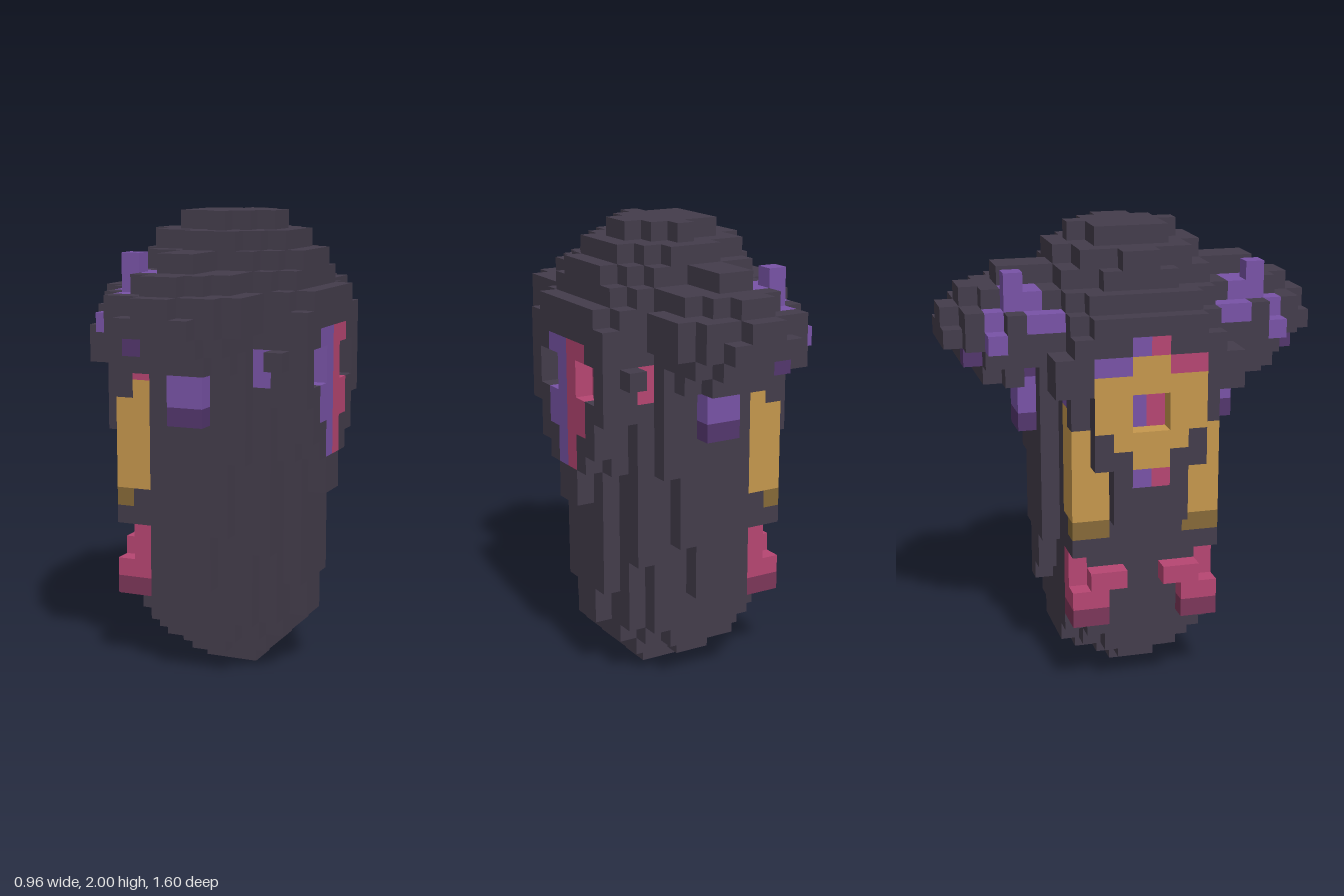
import * as THREE from 'three';

const U = 0.08; // edge of one cube

const colours = {
  stone: 0x433c4b, purple: 0x7853a6, darkPurple: 0x53366d,
  pink: 0xb64672, darkPink: 0x7c3659, gold: 0xc5974d, darkGold: 0x866938,
};

export function createModel() {
  const group = new THREE.Group();
  const materials = {};
  for (const [name, color] of Object.entries(colours)) {
    materials[name] = new THREE.MeshStandardMaterial({ color });
    materials[name].name = name;
  }

  // Cube grid: each filled cell remembers its part and colour;
  // 'gold|stone' paints the x faces gold and the other faces stone
  const cells = new Map();
  const key = (x, y, z) => `${x},${y},${z}`;
  function fill(part, colour, x0, x1, y0, y1, z0, z1) {
    for (let x = x0; x < x1; x++)
      for (let y = y0; y < y1; y++)
        for (let z = z0; z < z1; z++) {
          if (part) cells.set(key(x, y, z), [part, ...colour.split('|')]);
          else cells.delete(key(x, y, z));
        }
  }
  // Same box on both z sides, optionally with a different colour on the -z side
  function pair(part, colour, x0, x1, y0, y1, z0, z1, backColour = colour) {
    fill(part, colour, x0, x1, y0, y1, z0, z1);
    fill(part, backColour, x0, x1, y0, y1, -z1, -z0);
  }
  // Stacked slices: each row is [half depth, x from, x to]
  function slices(part, list) {
    for (const [y0, y1, rows] of list)
      for (const [z, x0, x1] of rows) pair(part, 'stone', x0, x1, y0, y1, 0, z);
  }

  slices('body', [
    [0, 1, [[1, -1, 2]]],
    [1, 2, [[1, -3, 3], [2, -2, 3], [3, -1, 1]]],
    [2, 4, [[2, -4, 4], [3, -3, 3], [4, -2, 2]]],
    [3, 8, [[1, -4, 5], [3, -4, 4], [4, -3, 3]]],
    [5, 8, [[2, -4, 5], [5, 0, 1]]],
    [6, 8, [[5, -1, 1]]],
    [7, 8, [[4, -3, 4]]],
    [8, 12, [[2, -5, 5], [4, -4, 4], [5, -2, 2]]],
    [10, 13, [[1, -6, 6], [2, -6, 5]]],
    [12, 17, [[2, -6, 6], [3, -5, 5], [4, -4, 4], [5, -2, 3]]],
    [13, 17, [[3, -6, 6]]],
  ]);

  slices('head', [
    [17, 20, [[4, -6, 6], [5, -2, 3]]],
    [20, 21, [[3, -6, 6], [4, -5, 5], [5, -3, 3]]],
    [21, 22, [[3, -5, 5], [4, -4, 4], [5, -3, 3]]],
    [22, 23, [[2, -4, 5], [3, -3, 4], [4, -3, 3]]],
    [23, 24, [[1, -4, 4], [2, -3, 4], [3, -3, 3], [4, -1, 2]]],
    [24, 25, [[1, -2, 3], [2, -2, 2], [3, 0, 1]]],
  ]);

  // Rounded lobes reaching out to both sides: [x0, x1, y0, y1, z0, z1]
  for (const b of [
    [-3, 3, 17, 18, 6, 7], [-2, 2, 17, 18, 6, 8],
    [-3, 3, 18, 19, 5, 8], [-2, 2, 18, 19, 5, 9],
    [-3, 3, 19, 21, 5, 9], [-2, 2, 19, 20, 5, 10], [-1, 1, 20, 21, 5, 10],
    [-3, 3, 21, 22, 5, 7], [-2, 2, 21, 22, 5, 8], [-1, 1, 21, 22, 5, 9],
    [-1, 1, 22, 23, 4, 7],
    [3, 4, 19, 21, 5, 8], [-4, -3, 19, 20, 4, 8], [-4, -3, 20, 21, 6, 7],
  ]) pair('sideLobe', 'stone', ...b);

  // Winding growth on top of each lobe
  for (const b of [
    [-4, -3, 19, 20, 7, 8], [-3, -2, 20, 21, 7, 8], [-3, -2, 21, 23, 6, 7],
    [-2, -1, 21, 22, 5, 7], [-3, -2, 21, 22, 5, 6], [-4, -3, 20, 21, 4, 6],
  ]) pair('lobeGrowth', 'purple', ...b);
  pair('lobeGrowth', 'darkPurple', -2, -1, 18, 19, 8, 9);

  // Drops hanging under the lobes
  pair('lobeDrop', 'purple', -1, 1, 15, 17, 5, 6);
  pair('lobeDrop', 'darkPurple', -1, 1, 14, 15, 5, 6);
  pair('lobeDrop', 'darkPurple', -1, 1, 17, 18, 5, 6);

  // Brow blocks, temple blocks and the side frames of both faces
  pair('brow', 'stone', -6, -4, 17, 19, 4, 5);
  pair('temple', 'stone', 4, 5, 17, 18, 4, 5);
  pair('faceFrame', 'stone', 4, 6, 15, 20, 3, 4);
  pair('faceFrame', 'stone', -5, -4, 15, 17, 3, 4);

  // Coloured patches beside the brow and the temple
  pair('cheekPatch', 'pink', -4, -3, 16, 18, 3, 4, 'purple');
  pair('templePatch', 'purple', 3, 4, 16, 18, 3, 4, 'pink');

  // Two-tone nose ridge and sunken eyes on the +x side
  pair(null, '', 5, 6, 16, 18, 1, 3);
  pair('noseRidge', 'purple|stone', 5, 6, 12, 14, 0, 1, 'pink|stone');
  pair('noseRidge', 'purple', 5, 6, 14, 19, 0, 1, 'pink');
  pair('noseRidge', 'purple', 5, 6, 14, 16, 1, 2, 'pink');
  pair('noseRidge', 'purple', 5, 6, 18, 19, 1, 2, 'pink');
  pair('sunkenEye', 'purple', 4, 5, 16, 18, 1, 3, 'pink');
  pair('sunkenEye', 'darkPurple', 4, 5, 17, 18, 1, 2, 'darkPink');

  // Two-tone border and gold ring on the -x side
  pair('ringBorder', 'pink|stone', -6, -5, 12, 20, 0, 1, 'purple|stone');
  pair('ringBorder', 'pink|stone', -6, -5, 18, 19, 1, 3, 'purple|stone');
  pair('ring', 'gold', -6, -5, 13, 19, 0, 1);
  pair('ring', 'gold', -6, -5, 14, 18, 1, 2);
  pair('ring', 'gold|stone', -6, -5, 15, 18, 2, 3);
  pair(null, '', -6, -5, 15, 17, 0, 1);
  pair('ringBack', 'pink', -5, -4, 15, 17, 0, 1, 'purple');

  // Gold cheeks
  pair('cheek', 'gold', -5, -3, 10, 15, 2, 4);
  pair('cheek', 'gold', -4, -3, 15, 16, 2, 4);
  pair('cheek', 'gold', -5, -4, 10, 13, 1, 2);
  pair('cheek', 'darkGold', -5, -4, 9, 10, 2, 4);
  pair('cheekBase', 'stone', -5, -4, 8, 9, 2, 4);

  // Pink hooks below the cheeks
  pair('hook', 'pink', -4, -3, 5, 8, 3, 4);
  pair('hook', 'pink', -5, -4, 5, 6, 2, 4);
  pair('hook', 'pink', -5, -4, 6, 7, 1, 3);
  pair('hook', 'darkPink', -5, -4, 4, 5, 2, 4);
  pair('hook', 'darkPink', -4, -3, 4, 5, 3, 4);

  // Turn the exposed cube faces into one mesh per part and colour
  const buffers = {};
  for (const [k, [part, xColour, sideColour = xColour]] of cells) {
    const c = k.split(',').map(Number);
    for (let a = 0; a < 3; a++)
      for (const s of [0, 1]) {
        const n = [0, 0, 0];
        n[a] = s * 2 - 1;
        if (cells.has(key(c[0] + n[0], c[1] + n[1], c[2] + n[2]))) continue;
        const id = `${part}/${a === 0 ? xColour : sideColour}`;
        const buf = (buffers[id] ??= { pos: [], nor: [], idx: [] });
        const u = (a + 1) % 3, v = (a + 2) % 3, start = buf.pos.length / 3;
        for (const [du, dv] of [[0, 0], [1, 0], [1, 1], [0, 1]]) {
          const p = [...c];
          p[a] += s; p[u] += du; p[v] += dv;
          buf.pos.push(p[0] * U, p[1] * U, p[2] * U);
          buf.nor.push(...n);
        }
        const order = s ? [0, 1, 2, 0, 2, 3] : [0, 2, 1, 0, 3, 2];
        buf.idx.push(...order.map((i) => start + i));
      }
  }
  for (const [id, { pos, nor, idx }] of Object.entries(buffers)) {
    const [part, colour] = id.split('/');
    const geometry = new THREE.BufferGeometry();
    geometry.setAttribute('position', new THREE.Float32BufferAttribute(pos, 3));
    geometry.setAttribute('normal', new THREE.Float32BufferAttribute(nor, 3));
    geometry.setIndex(idx);
    const mesh = new THREE.Mesh(geometry, materials[colour]);
    mesh.name = part;
    group.add(mesh);
  }
  return group;
}
